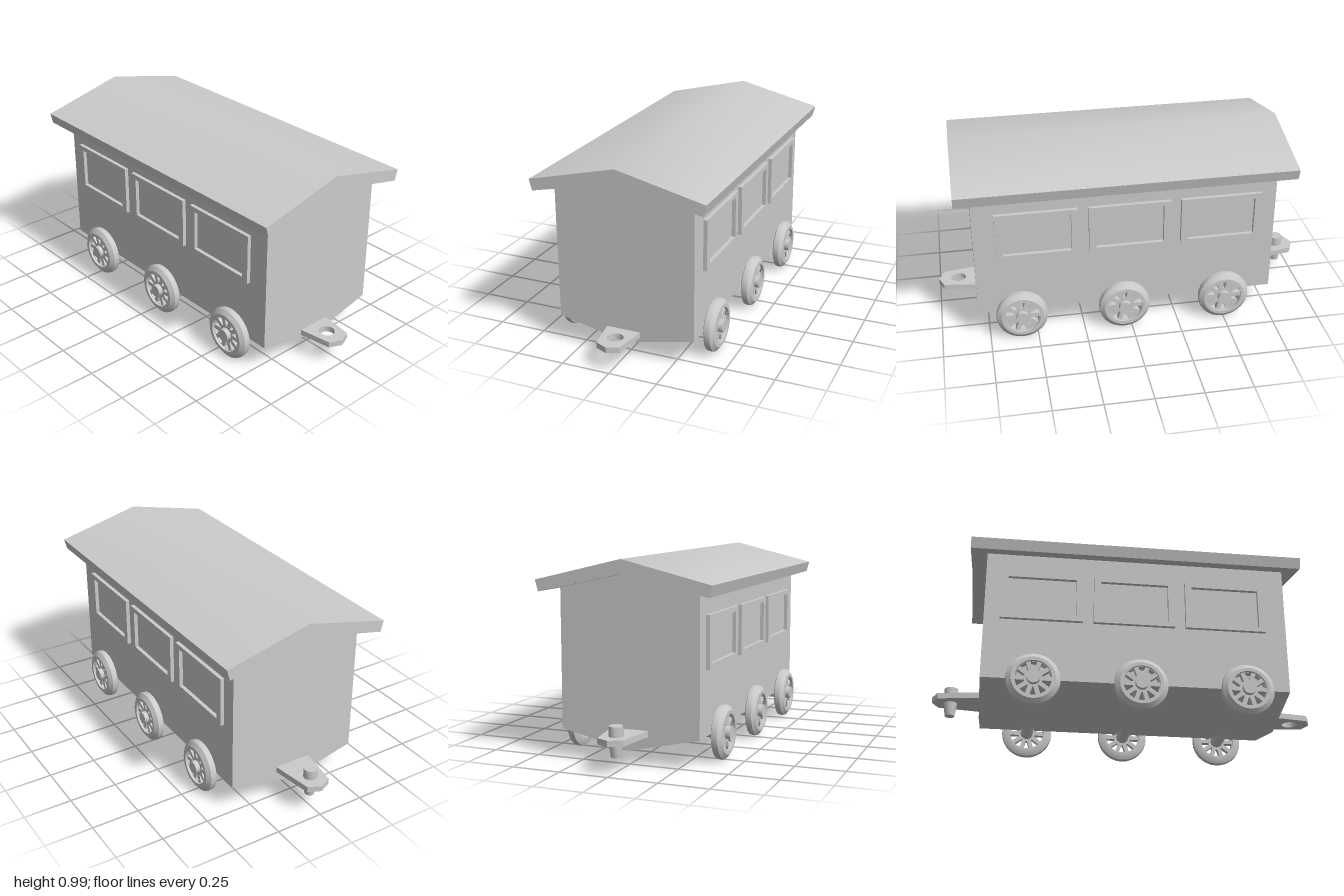
import * as THREE from 'three';
import { toCreasedNormals } from 'three/addons/utils/BufferGeometryUtils.js';

const material = new THREE.MeshStandardMaterial({ color: 0xcccccc });

function add(parent, name, geometry, x = 0, y = 0, z = 0) {
  const mesh = new THREE.Mesh(geometry, material);
  mesh.name = name;
  mesh.position.set(x, y, z);
  parent.add(mesh);
  return mesh;
}

const shapeOf = (points) => new THREE.Shape(points.map(([x, y]) => new THREE.Vector2(x, y)));
const extrude = (shape, depth) =>
  new THREE.ExtrudeGeometry(shape, { depth, bevelEnabled: false, curveSegments: 12 });

// Cross-section in (z, y), swept along x from x0 to x1
function alongX(points, x0, x1) {
  const g = extrude(shapeOf(points), x1 - x0);
  g.rotateY(-Math.PI / 2).translate(x1, 0, 0);
  return toCreasedNormals(g, 0.6);
}

// Outline in (x, z), thickened upwards from y0 to y1
function plate(points, y0, y1, hole) {
  const shape = shapeOf(points.map(([x, z]) => [x, -z]));
  if (hole) {
    const path = new THREE.Path();
    path.absarc(hole[0], -hole[1], hole[2], 0, Math.PI * 2, true);
    shape.holes.push(path);
  }
  return extrude(shape, y1 - y0).rotateX(-Math.PI / 2).translate(0, y0, 0);
}

function rectangle(w, h, Type) {
  return new Type([[-1, -1], [1, -1], [1, 1], [-1, 1]]
    .map(([x, y]) => new THREE.Vector2(x * w / 2, y * h / 2)));
}

// Wheel with its axis on z, outer side facing +z
function createWheel() {
  const wheel = new THREE.Group();
  wheel.name = 'wheel';
  const profile = [[0.092, -0.028], [0.11, -0.028], [0.133, -0.018], [0.136, 0],
    [0.133, 0.013], [0.126, 0.018], [0.11, 0.03], [0.092, 0.03], [0.092, -0.028]];
  const tyre = new THREE.LatheGeometry(profile.map(([r, y]) => new THREE.Vector2(r, y)), 28);
  add(wheel, 'tyre', toCreasedNormals(tyre.rotateX(Math.PI / 2), 0.5));

  // Spoked disc: wedge-shaped openings between the spokes
  const disc = new THREE.Shape().absarc(0, 0, 0.1, 0, Math.PI * 2);
  const count = 10;
  for (let i = 0; i < count; i++) {
    const a = (i + 0.5) / count * Math.PI * 2;
    const corner = (r, side) => {
      const t = a + side * (Math.PI / count - 0.011 / r);
      return new THREE.Vector2(Math.cos(t) * r, Math.sin(t) * r);
    };
    disc.holes.push(new THREE.Path([
      corner(0.046, -1), corner(0.046, 1), corner(0.091, 1), corner(0.091, -1)]));
  }
  add(wheel, 'spokes', extrude(disc, 0.03).translate(0, 0, -0.013));

  const hub = new THREE.CylinderGeometry(0.034, 0.034, 0.07, 12).rotateX(Math.PI / 2);
  add(wheel, 'hub', toCreasedNormals(hub, 0.6), 0, 0, 0.007);
  return wheel;
}

export function createModel() {
  const model = new THREE.Group();
  model.name = 'railwayCarriage';

  // Body with a gabled top and a shallow V underside
  add(model, 'body', alongX([[0, 0.07], [0.36, 0.15], [0.36, 0.849], [0, 0.925],
    [-0.36, 0.849], [-0.36, 0.15]], -0.755, 0.805));

  // Overhanging gable roof
  add(model, 'roof', alongX([[0.45, 0.887], [0, 0.995], [-0.45, 0.887],
    [-0.435, 0.83], [0, 0.925], [0.435, 0.83]], -0.84, 0.885));

  // Window frames on both sides
  const frame = rectangle(0.42, 0.26, THREE.Shape);
  frame.holes.push(rectangle(0.35, 0.21, THREE.Path));
  const frameGeometry = extrude(frame, 0.025);
  for (const x of [-0.465, 0.01, 0.485]) {
    add(model, 'windowFrame', frameGeometry, x, 0.604, 0.355);
    add(model, 'windowFrame', frameGeometry, x, 0.604, -0.355).rotation.y = Math.PI;
  }

  // Three axles with a wheel at each end
  const axle = new THREE.CylinderGeometry(0.034, 0.034, 0.76, 12).rotateX(Math.PI / 2);
  for (const x of [-0.495, 0.04, 0.58]) {
    add(model, 'axle', toCreasedNormals(axle, 0.6), x, 0.138, 0);
    for (const side of [1, -1]) {
      const wheel = createWheel();
      wheel.position.set(x, 0.138, side * 0.388);
      if (side < 0) wheel.rotation.y = Math.PI;
      model.add(wheel);
    }
  }

  // Coupling plate with an eye
  add(model, 'couplingEye', plate([[0.79, 0.105], [0.97, 0.077], [1, 0.013],
    [0.975, -0.05], [0.79, -0.077]], 0.11, 0.14, [0.895, 0.013, 0.04]));

  // Coupling plate with a tapered pin
  add(model, 'couplingPlate', plate([[-0.74, 0.1], [-0.84, 0.085], [-0.97, 0.065],
    [-1, 0], [-0.97, -0.065], [-0.84, -0.085], [-0.74, -0.1]], 0.145, 0.175));
  const pin = new THREE.LatheGeometry([[0, 0.075], [0.025, 0.075], [0.035, 0.145],
    [0.035, 0.225], [0, 0.225]].map(([r, y]) => new THREE.Vector2(r, y)), 12);
  add(model, 'couplingPin', toCreasedNormals(pin, 0.6), -0.905, 0, 0);

  return model;
}
